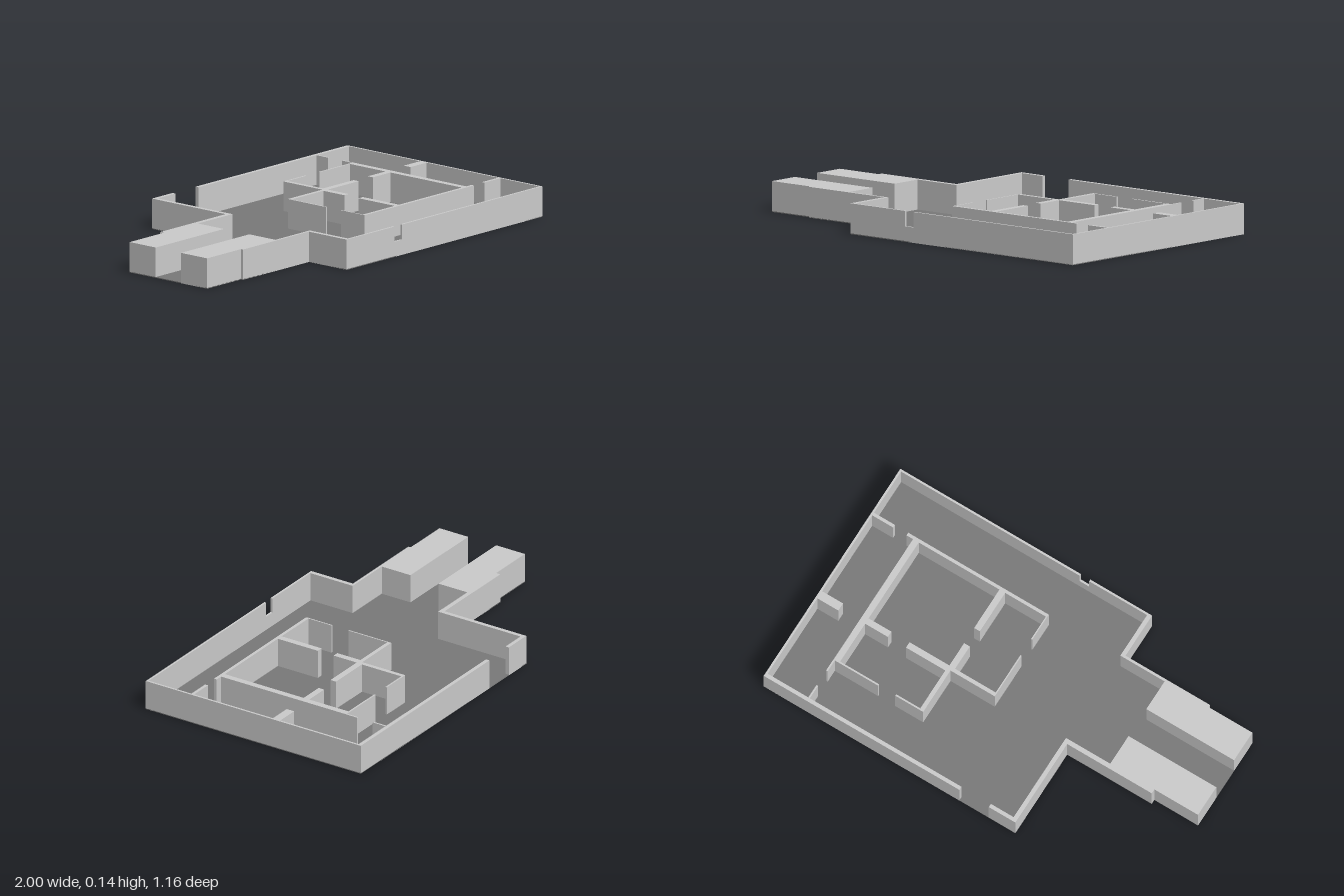
import * as THREE from 'three';

const H = 0.14;        // wall height
const FLOOR = 0.004;   // slab thickness
const mat = new THREE.MeshStandardMaterial({ color: 0xcccccc, flatShading: true, side: THREE.DoubleSide });
const floorMat = new THREE.MeshStandardMaterial({ color: 0x797979, flatShading: true, side: THREE.DoubleSide });

// Upright block given by its plan rectangle
function block(parent, name, x0, x1, z0, z1, top = H) {
  const m = new THREE.Mesh(new THREE.BoxGeometry(x1 - x0, top, z1 - z0), mat);
  m.position.set((x0 + x1) / 2, top / 2, (z0 + z1) / 2);
  m.name = name;
  parent.add(m);
}

// Upright extrusion of a plan outline of [x, z] points, open underneath
function hollowBlock(parent, name, pts) {
  const shape = new THREE.Shape(pts.map(([x, z]) => new THREE.Vector2(x, -z)));
  const lid = new THREE.ShapeGeometry(shape).rotateX(-Math.PI / 2).translate(0, H, 0);
  const g = new THREE.Group();
  g.name = name;
  g.add(new THREE.Mesh(lid, mat));
  pts.forEach(([x, z], i) => {
    const [u, v] = pts[(i + 1) % pts.length];
    const side = new THREE.Mesh(new THREE.PlaneGeometry(Math.hypot(u - x, v - z), H), mat);
    side.position.set((x + u) / 2, H / 2, (z + v) / 2);
    side.rotation.y = -Math.atan2(v - z, u - x);
    g.add(side);
  });
  g.children.forEach((c) => { c.name = name + 'Face'; });
  parent.add(g);
}

export function createModel() {
  const model = new THREE.Group();
  model.name = 'floorPlan';

  // Darker floor slab with two slots beneath the entrance blocks
  const outline = [
    [-0.325, 0.58], [1, 0.58], [1, -0.58], [-0.325, -0.58], [-0.325, -0.14], [-0.77, -0.14],
    [-0.77, -0.118], [-1, -0.118], [-1, 0.343], [-0.77, 0.343], [-0.77, 0.355], [-0.325, 0.355],
  ];
  const slab = new THREE.Shape(outline.map(([x, z]) => new THREE.Vector2(x, -z)));
  for (const [z0, z1] of [[-0.06, 0.02], [0.22, 0.305]]) {
    slab.holes.push(new THREE.Path([[-0.998, z0], [-0.998, z1], [-0.56, z1], [-0.56, z0]]
      .map(([x, z]) => new THREE.Vector2(x, -z))));
  }
  const floor = new THREE.Mesh(
    new THREE.ExtrudeGeometry(slab, { depth: FLOOR, bevelEnabled: false }).rotateX(-Math.PI / 2), floorMat);
  floor.name = 'floor';
  model.add(floor);

  // Entrance blocks on both sides of the passage
  hollowBlock(model, 'backEntranceBlock', [
    [-1, 0.037], [-0.538, 0.037], [-0.538, -0.14], [-0.77, -0.14], [-0.77, -0.118], [-1, -0.118]]);
  hollowBlock(model, 'frontEntranceBlock', [
    [-1, 0.343], [-0.538, 0.343], [-0.538, 0.188], [-1, 0.188]]);

  // Outer walls: x0, x1, z0, z1
  const outer = new THREE.Group();
  outer.name = 'outerWalls';
  model.add(outer);
  [
    [-0.538, -0.305, -0.14, -0.118], [-0.77, -0.305, 0.343, 0.355], // entrance hall
    [-0.325, -0.305, -0.58, -0.14], [-0.325, -0.305, 0.355, 0.58],  // right-hand side
    [-0.305, -0.185, -0.58, -0.562], [-0.03, 1, -0.58, -0.562],     // back, with door gap
    [0.99, 1, -0.562, 0.57],                                        // left-hand side
    [-0.305, 0, 0.57, 0.58], [0.05, 1, 0.57, 0.58],                 // front, with window gap
  ].forEach((w) => block(outer, 'outerWall', ...w));
  block(outer, 'windowSill', 0, 0.05, 0.57, 0.58, H / 2);

  // Partitions with door gaps: x0, x1, z0, z1
  const inner = new THREE.Group();
  inner.name = 'partitions';
  model.add(inner);
  [
    [0.768, 0.776, -0.562, -0.492], [0.768, 0.776, -0.41, -0.35],   // back corner room
    [0.745, 0.775, -0.35, 0.325],                                   // long spine
    [0.303, 0.45, -0.35, -0.342], [0.54, 0.745, -0.35, -0.342],     // back of rooms
    [0.303, 0.323, -0.342, -0.118],
    [0.07, 0.323, -0.118, -0.10], [0.323, 0.53, -0.13, -0.10], [0.625, 0.745, -0.13, -0.10],
    [0.88, 0.99, -0.14, -0.10],
    [0.07, 0.076, -0.10, 0.11], [0.07, 0.076, 0.20, 0.325],         // small room
    [0.29, 0.32, -0.10, 0.025], [0.29, 0.32, 0.11, 0.325],          // between rooms
    [0.07, 0.81, 0.325, 0.34], [0.88, 0.99, 0.325, 0.34],           // front of rooms
  ].forEach((w) => block(inner, 'partition', ...w));

  return model;
}
